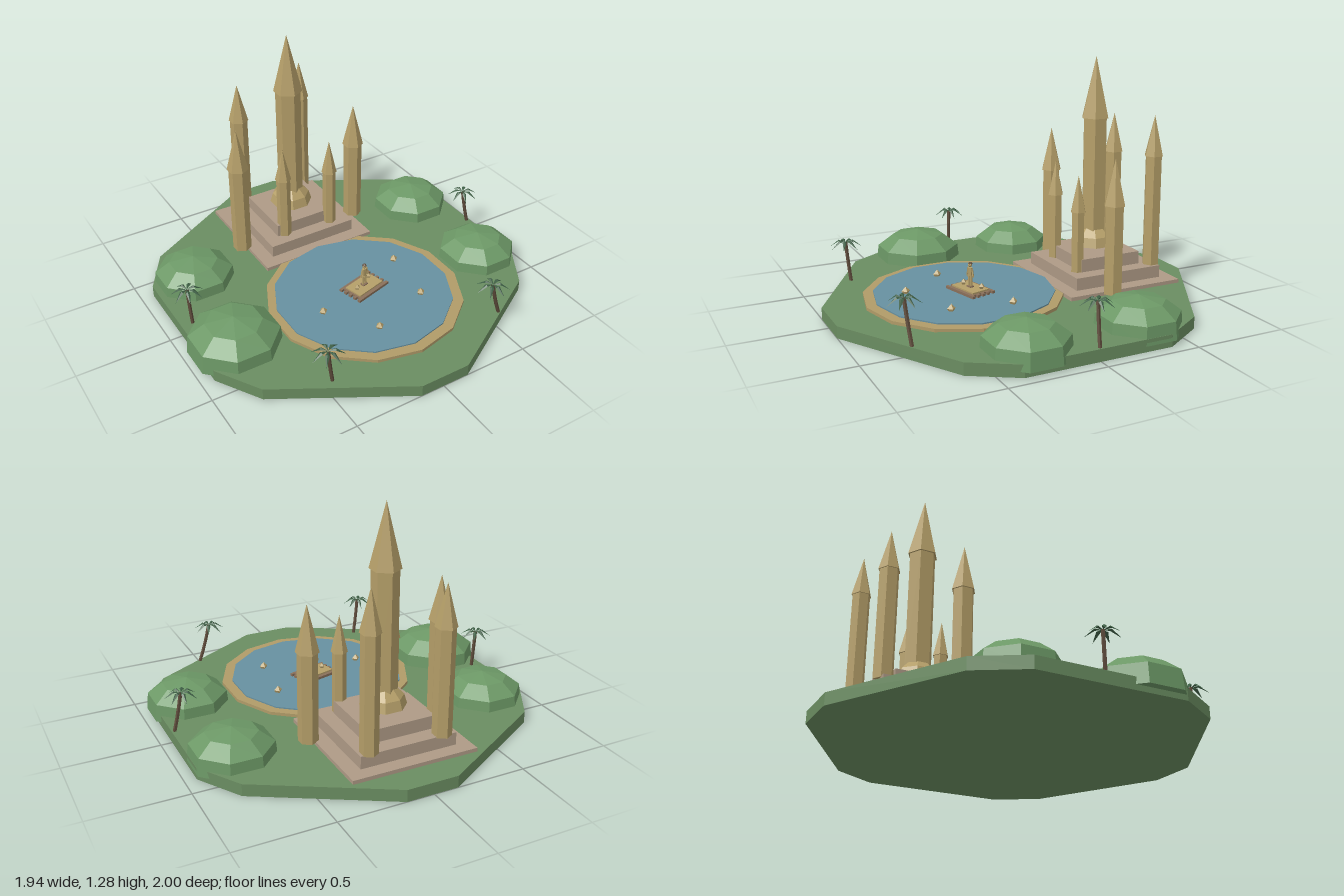
import * as THREE from 'three';

const mat = (name, color, side = THREE.FrontSide) =>
  Object.assign(new THREE.MeshStandardMaterial({ color, side }), { name });

export function createModel() {
  const root = new THREE.Group();
  root.name = 'palaceIsland';
  const grass = mat('grass', 0x6a8d61);
  const leaf = mat('bushGreen', 0x6c9866);
  const sand = mat('sand', 0xb09b68);
  const water = mat('water', 0x6790a0);
  const stone = mat('stone', 0xae9a86);
  const gold = mat('gold', 0xb59f69, THREE.DoubleSide);
  const wood = mat('wood', 0x8a705a);
  const bark = mat('bark', 0x5f4c3c);
  const frondGreen = mat('frondGreen', 0x3f6046, THREE.DoubleSide);

  // Adds a faceted mesh
  const add = (parent, name, geometry, material, x = 0, y = 0, z = 0) => {
    const g = geometry.index ? geometry.toNonIndexed() : geometry;
    g.computeVertexNormals();
    const m = new THREE.Mesh(g, material);
    m.name = name;
    m.position.set(x, y, z);
    parent.add(m);
    return m;
  };
  const group = (name, x = 0, y = 0, z = 0, parent = root) => {
    const g = new THREE.Group();
    g.name = name;
    g.position.set(x, y, z);
    parent.add(g);
    return g;
  };
  // Box given by its base height
  const box = (parent, name, w, h, d, material, x, y, z) =>
    add(parent, name, new THREE.BoxGeometry(w, h, d), material, x, y + h / 2, z);
  // Lathe from bottom to top
  const lathe = (points, sides, start = 0) =>
    new THREE.LatheGeometry(points.map(([r, y]) => new THREE.Vector2(r, y)), sides, start);

  // Island slab
  const outline = [[-0.13, 1], [-0.79, 0.62], [-0.932, 0.385], [-0.932, -0.385], [-0.79, -0.62], [-0.13, -1],
    [0.145, -1], [0.8, -0.62], [0.94, -0.39], [0.94, 0.39], [0.8, 0.62], [0.145, 1]];
  const slab = new THREE.ExtrudeGeometry(
    new THREE.Shape(outline.map(([x, y]) => new THREE.Vector2(x, y))), { depth: 0.063, bevelEnabled: false });
  add(root, 'island', slab.rotateX(-Math.PI / 2), grass);

  // Lake and its bank
  add(root, 'lakeBank', new THREE.CylinderGeometry(0.53, 0.53, 0.06, 14), sand, 0.008, 0.05, 0.277);
  add(root, 'lakeWater', new THREE.CylinderGeometry(0.48, 0.48, 0.05, 14), water, 0.004, 0.062, 0.272);

  // Stepped terrace
  box(root, 'terraceBase', 0.68, 0.043, 0.672, stone, 0.007, 0.04, -0.516);
  box(root, 'terraceMiddle', 0.525, 0.07, 0.52, stone, 0.006, 0.08, -0.518);
  box(root, 'terraceTop', 0.37, 0.07, 0.36, stone, 0.005, 0.15, -0.513);

  // Towers: x, z, base, shaft top, tip, shaft radius, spire radius
  const towers = [
    ['mainTower', 0.005, -0.51, 0.3, 0.95, 1.28, 0.07, 0.08],
    ['leftTower', 0.37, -0.415, 0.08, 0.555, 0.8, 0.052, 0.06],
    ['rightTower', -0.357, -0.44, 0.08, 0.6, 0.84, 0.052, 0.06],
    ['backRightTower', -0.187, -0.755, 0.145, 0.71, 0.93, 0.05, 0.056],
    ['backLeftTower', 0.213, -0.755, 0.145, 0.755, 0.975, 0.047, 0.053],
    ['frontRightTower', -0.13, -0.345, 0.145, 0.51, 0.7, 0.039, 0.045],
    ['frontLeftTower', 0.155, -0.325, 0.145, 0.48, 0.675, 0.037, 0.043],
  ];
  for (const [name, x, z, base, top, tip, r, R] of towers) {
    const t = group(name, x, 0, z);
    add(t, 'shaft', new THREE.CylinderGeometry(r, r, top - base, 6), gold, 0, (top + base) / 2, 0);
    add(t, 'spire', new THREE.ConeGeometry(R, tip - top, 6), gold, 0, (tip + top) / 2, 0);
  }

  // Dome around the foot of the main tower
  add(root, 'dome', lathe([[0.12, 0.243], [0.105, 0.295], [0.062, 0.338], [0, 0.35]], 8, Math.PI / 8),
    gold, 0.005, 0, -0.51);

  // Rounded bushes
  const bushProfile = [[0, 0], [1.08, 0], [1.035, 0.45], [0.65, 0.74], [0, 0.87]];
  for (const [x, z, r] of [[-0.7, -0.345, 0.203], [-0.748, 0.245, 0.226], [0.737, -0.33, 0.205], [0.76, 0.29, 0.203]]) {
    add(root, 'bush', lathe(bushProfile.map(([a, b]) => [a * r, b * r]), 8, Math.PI / 8), leaf, x, 0.028, z);
  }

  // Palms: crown x, z and trunk base x, z
  const frond = () => {
    const g = new THREE.BufferGeometry();
    // root, two sides, raised rib, tip
    g.setAttribute('position', new THREE.Float32BufferAttribute([
      0, 0, 0, 0.038, 0.004, 0.011, 0.038, 0.004, -0.011, 0.038, 0.011, 0, 0.088, -0.03, 0], 3));
    g.setIndex([0, 1, 3, 0, 3, 2, 1, 4, 3, 3, 4, 2]);
    return g;
  };
  const palms = [[-0.88, -0.01, -0.87, 0.0], [0.882, -0.01, 0.925, 0.0],
    [-0.508, 0.755, -0.475, 0.74], [0.465, 0.77, 0.535, 0.76]];
  palms.forEach(([x, z, bx, bz], i) => {
    const p = group('palm');
    const path = new THREE.QuadraticBezierCurve3(new THREE.Vector3(bx, 0.055, bz),
      new THREE.Vector3((x + bx) / 2 + (x - bx) * 0.1, 0.16, (z + bz) / 2), new THREE.Vector3(x, 0.278, z));
    add(p, 'trunk', new THREE.TubeGeometry(path, 3, 0.01, 5), bark);
    for (let k = 0; k < 7; k++) {
      add(p, 'frond', frond(), frondGreen, x, 0.276, z).rotation.y = i * 0.7 + k * Math.PI * 2 / 7;
    }
  });

  // Floating lanterns
  const lantern = (parent, x, y, z, s = 1) => {
    const l = add(parent, 'lantern', lathe([[0, 0], [0.013, 0], [0.023, 0.016], [0, 0.04]], 4), gold, x, y, z);
    l.scale.setScalar(s);
  };
  for (const [x, z] of [[0.3, 0.13], [-0.27, 0.315], [0.255, 0.45], [-0.085, 0.565]]) lantern(root, x, 0.084, z);

  // Raft of planks with a mat
  const raft = group('raft', 0.027, 0.085, 0.247);
  raft.rotation.y = 0.26;
  for (let i = 0; i < 9; i++) {
    box(raft, 'plank', i % 2 ? 0.196 : 0.228, 0.016, 0.0165, wood, 0, 0, (i - 4) * 0.0163);
  }
  box(raft, 'mat', 0.178, 0.008, 0.106, gold, 0, 0.016, 0);
  lantern(raft, -0.056, 0.024, 0, 0.75);
  lantern(raft, 0.062, 0.024, -0.026, 0.75);

  // Standing figure
  const figure = group('figure', 0, 0.024, 0, raft);
  box(figure, 'plinth', 0.034, 0.006, 0.026, wood, 0, 0, 0);
  for (const s of [-1, 1]) {
    add(figure, 'leg', new THREE.CylinderGeometry(0.008, 0.006, 0.056, 6), gold, s * 0.009, 0.034, 0);
    const arm = add(figure, 'arm', new THREE.CylinderGeometry(0.005, 0.005, 0.048, 5), gold, s * 0.021, 0.08, 0);
    arm.rotation.z = s * 0.2;
  }
  add(figure, 'torso', new THREE.CylinderGeometry(0.017, 0.012, 0.046, 6), gold, 0, 0.083, 0).scale.z = 0.65;
  add(figure, 'head', new THREE.IcosahedronGeometry(0.012, 1), gold, 0, 0.12, 0);
  add(figure, 'hair', new THREE.SphereGeometry(0.0128, 6, 3, 0, Math.PI * 2, 0, Math.PI / 2.2), bark, 0, 0.122, -0.001);
  return root;
}
